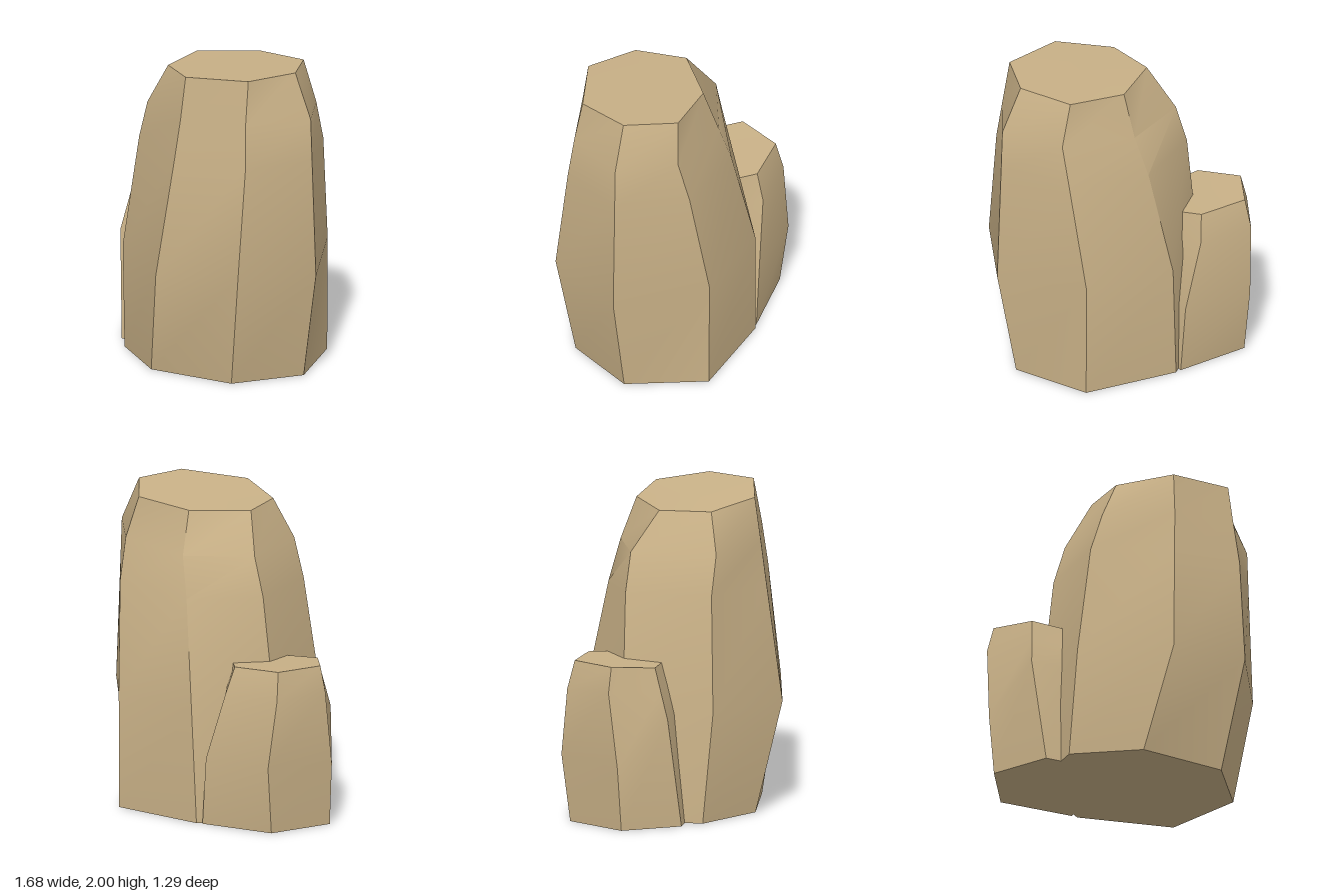
import * as THREE from 'three';
import { toCreasedNormals } from 'three/addons/utils/BufferGeometryUtils.js';

// Closed faceted stone: each ridge is a list of [x, y, z] points from base to crown,
// with ridges ordered anticlockwise as seen from above.
function makeStone(name, ridges, material) {
  const levels = ridges[0].length;
  const count = ridges.length;
  const positions = [];
  const tri = (a, b, c) => positions.push(...a, ...b, ...c);
  const centre = (level) => [0, 1, 2].map(
    (k) => ridges.reduce((sum, ridge) => sum + ridge[level][k], 0) / count);
  const bottom = centre(0);
  const crown = centre(levels - 1);

  for (let i = 0; i < count; i++) {
    const a = ridges[i];
    const b = ridges[(i + 1) % count];
    for (let j = 0; j < levels - 1; j++) {
      tri(a[j], b[j], b[j + 1]);
      tri(a[j], b[j + 1], a[j + 1]);
    }
    tri(bottom, b[0], a[0]);
    tri(crown, a[levels - 1], b[levels - 1]);
  }

  const geometry = new THREE.BufferGeometry();
  geometry.setAttribute('position', new THREE.Float32BufferAttribute(positions, 3));
  const mesh = new THREE.Mesh(toCreasedNormals(geometry, 0.55), material);
  mesh.name = name;
  return mesh;
}

export function createModel() {
  const group = new THREE.Group();
  group.name = 'rockPair';
  const sandstone = new THREE.MeshStandardMaterial({ color: 0xc9b187 });
  sandstone.name = 'sandstone';

  // Tall seven-sided stone
  group.add(makeStone('tallStone', [
    // front
    [[-0.12, 0, 0.5], [0.02, 0.69, 0.645], [0.08, 1.43, 0.53], [0.1, 1.7, 0.49], [0.11, 1.97, 0.45]],
    // front left
    [[0.45, 0, 0.43], [0.57, 0.75, 0.525], [0.57, 1.45, 0.445], [0.545, 1.72, 0.41], [0.53, 2, 0.36]],
    // left
    [[0.72, 0, 0.03], [0.84, 0.69, 0.065], [0.81, 1.45, 0.065], [0.8, 1.72, 0.065], [0.67, 2, 0.05]],
    // back left
    [[0.54, 0, -0.47], [0.54, 0.74, -0.475], [0.59, 1.44, -0.36], [0.59, 1.7, -0.285], [0.51, 1.97, -0.26]],
    // back
    [[-0.07, 0, -0.59], [-0.04, 0.74, -0.6], [0.06, 1.41, -0.475], [0.12, 1.67, -0.41], [0.13, 1.94, -0.31]],
    // back right
    [[-0.52, 0, -0.25], [-0.46, 0.72, -0.28], [-0.38, 1.43, -0.28], [-0.31, 1.68, -0.26], [-0.2, 1.93, -0.1]],
    // front right
    [[-0.515, 0, 0.24], [-0.485, 0.7, 0.3], [-0.38, 1.43, 0.27], [-0.305, 1.68, 0.285], [-0.185, 1.93, 0.23]],
  ], sandstone));

  // Short stone leaning against it, with its inner side buried
  group.add(makeStone('shortStone', [
    // front right
    [[-0.62, 0, 0.125], [-0.685, 0.69, 0.05], [-0.66, 0.87, 0], [-0.64, 1.015, -0.04]],
    // front inner
    [[-0.515, 0, 0.125], [-0.45, 0.69, 0.05], [-0.4, 0.87, 0], [-0.36, 1, -0.04]],
    // buried inner side
    [[-0.1, 0, -0.2], [-0.1, 0.5, -0.2], [-0.12, 0.87, -0.25], [-0.15, 1.01, -0.28]],
    // back inner
    [[-0.11, 0, -0.585], [-0.14, 0.43, -0.595], [-0.27, 0.86, -0.58], [-0.31, 1.03, -0.53]],
    // back right
    [[-0.6, 0, -0.59], [-0.605, 0.43, -0.645], [-0.645, 0.86, -0.6], [-0.63, 1.04, -0.555]],
    // right
    [[-0.82, 0, -0.22], [-0.845, 0.4, -0.24], [-0.83, 0.88, -0.3], [-0.79, 1.04, -0.29]],
  ], sandstone));

  return group;
}
